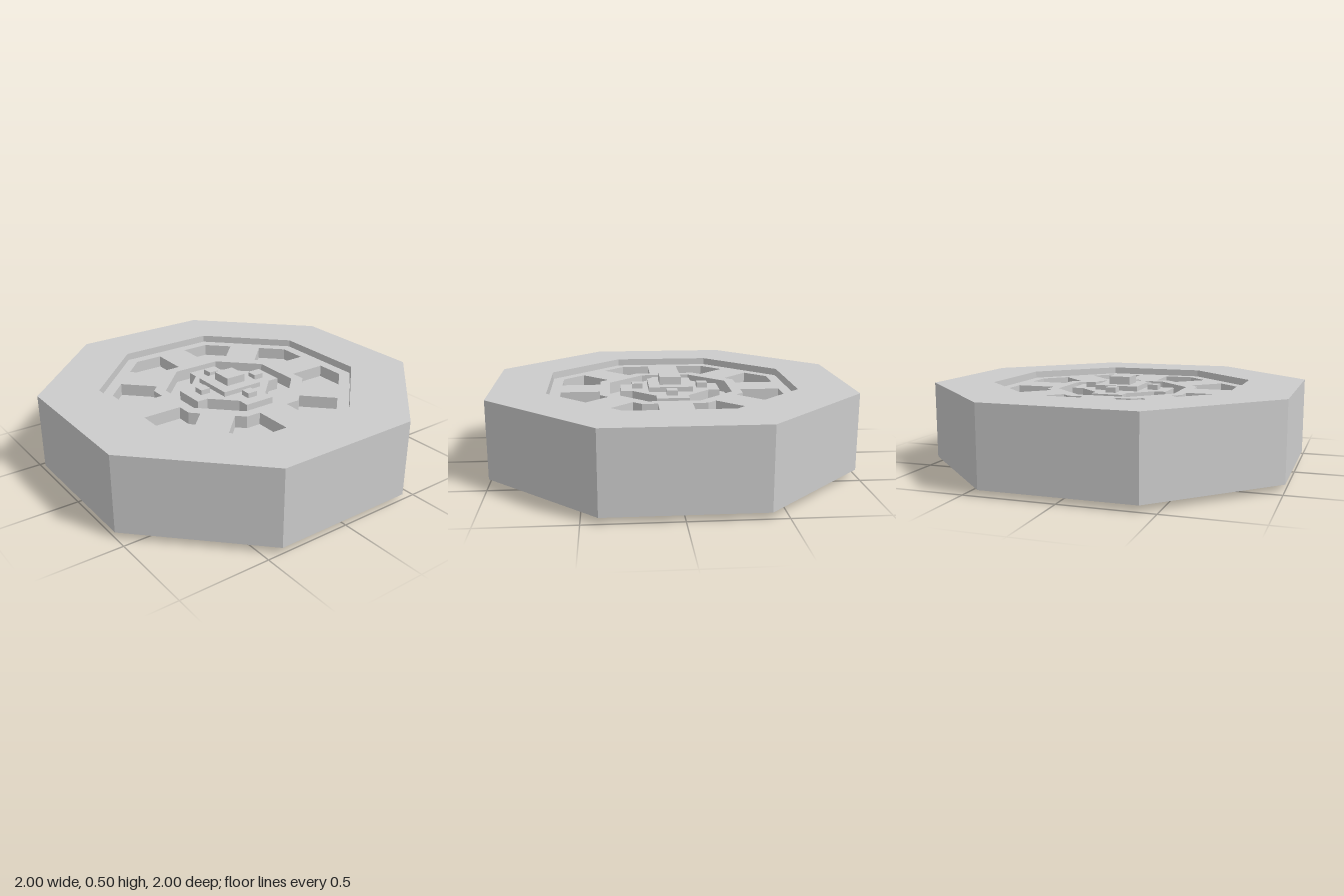
import * as THREE from 'three';

const material = new THREE.MeshStandardMaterial({ color: 0xcccccc, flatShading: true });
const MID = 0.25; // height of the wheel's centre plane

const toPoints = (pairs) => pairs.map(([x, y]) => new THREE.Vector2(x, y));

// Octagon with flat sides on the axes, sized by its apothem
function octagon(apothem) {
  const r = apothem / Math.cos(Math.PI / 8);
  return Array.from({ length: 8 }, (_, i) => {
    const a = Math.PI / 8 + (i * Math.PI) / 4;
    return new THREE.Vector2(r * Math.cos(a), r * Math.sin(a));
  });
}

// Flat plate with holes between two heights
function plate(name, outline, holes, bottom, top) {
  const shape = new THREE.Shape(outline);
  holes.forEach((h) => shape.holes.push(new THREE.Path(h)));
  const geometry = new THREE.ExtrudeGeometry(shape, { depth: top - bottom, bevelEnabled: false });
  geometry.rotateX(-Math.PI / 2).translate(0, bottom, 0);
  const mesh = new THREE.Mesh(geometry, material);
  mesh.name = name;
  return mesh;
}

function block(name, size, bottom, top, x = 0, z = 0) {
  const mesh = new THREE.Mesh(new THREE.BoxGeometry(size, top - bottom, size), material);
  mesh.position.set(x, (bottom + top) / 2, z);
  mesh.name = name;
  return mesh;
}

// Eight pockets: one outline, mirrored over both axes and the diagonal
function pocketOutlines() {
  const base = [[0.093, 0.623], [0.257, 0.623], [0.374, 0.506], [0.224, 0.356], [0.178, 0.402], [0.093, 0.402]];
  const list = [];
  for (const sx of [-1, 1])
    for (const sy of [-1, 1]) {
      list.push(toPoints(base.map(([x, y]) => [x * sx, y * sy])));
      list.push(toPoints(base.map(([x, y]) => [y * sx, x * sy])));
    }
  return list;
}

// Small octagon with four square-ended arms
function hubOutline() {
  const a = 0.09, b = 0.217, c = 0.283;
  const quarter = [[c, -a], [c, a], [b, a], [a, b]];
  const points = [];
  for (let i = 0; i < 4; i++) {
    const turn = (i * Math.PI) / 2;
    quarter.forEach(([x, y]) => points.push(new THREE.Vector2(x, y).rotateAround(new THREE.Vector2(), turn)));
  }
  return points;
}

// Everything on one face of the wheel, measured from the centre plane
function wheelFace(name) {
  const face = new THREE.Group();
  face.name = name;
  const floor = 0.11, level = 0.178;
  face.add(plate('rim', octagon(0.684), [octagon(0.345), ...pocketOutlines()], floor, level));
  face.add(plate('hub', hubOutline(), [], floor, level));
  face.add(block('hubPlate', 0.25, level, 0.205));
  face.add(block('axleCap', 0.122, 0.205, 0.25));
  for (const [x, z] of [[1, 0], [-1, 0], [0, 1], [0, -1]])
    face.add(block('bolt', 0.06, level, 0.207, x * 0.188, z * 0.188));
  return face;
}

export function createModel() {
  const model = new THREE.Group();
  model.name = 'wheel';
  const wheel = new THREE.Group();
  wheel.name = 'wheelBody';
  wheel.position.y = MID;

  wheel.add(plate('tyre', octagon(1), [octagon(0.69)], -0.217, 0.217));
  wheel.add(plate('core', octagon(0.69), [], -0.11, 0.11));

  const upper = wheelFace('upperFace');
  const lower = wheelFace('lowerFace');
  lower.rotation.x = Math.PI;
  wheel.add(upper, lower);

  model.add(wheel);
  return model;
}
